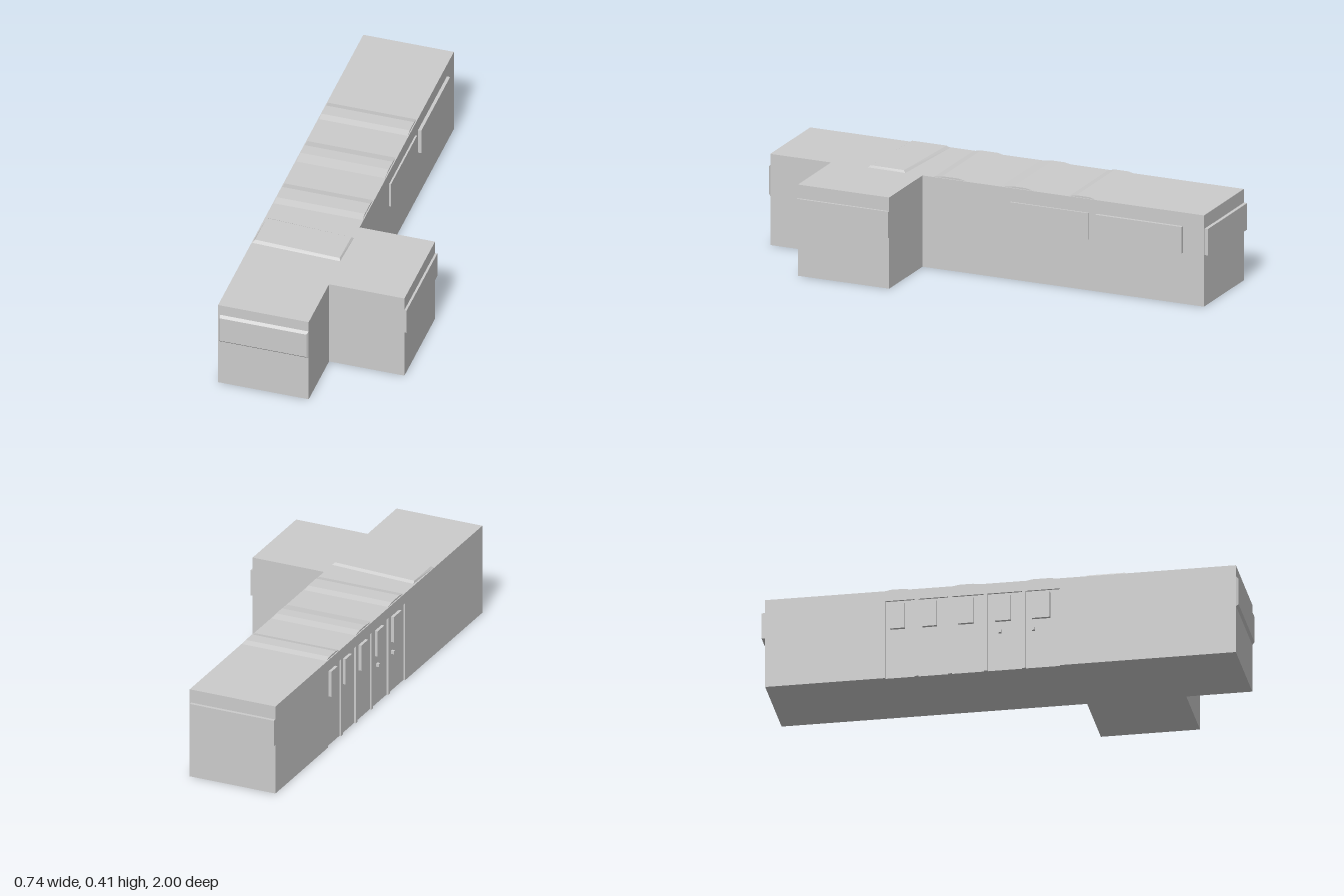
import * as THREE from 'three';
import { ConvexGeometry } from 'three/addons/geometries/ConvexGeometry.js';

const H = 0.396, LEFT = 0.03, RIGHT = -0.363, FRONT = 0.99, BACK = -0.985;
const DOOR_TOP = 0.35, RECESS = 0.008;
const WIN_LOW = 0.222, WIN_HIGH = 0.337;

export function createModel() {
  const group = new THREE.Group();
  const mat = new THREE.MeshStandardMaterial({ color: 0xcccccc, flatShading: true });

  const add = (name, geometry) => {
    const mesh = new THREE.Mesh(geometry, mat);
    mesh.name = name;
    group.add(mesh);
    return mesh;
  };
  // Box given by its min and max on each axis
  const box = (name, x0, x1, y0, y1, z0, z1) => {
    const g = new THREE.BoxGeometry(x1 - x0, y1 - y0, z1 - z0);
    g.translate((x0 + x1) / 2, (y0 + y1) / 2, (z0 + z1) / 2);
    return add(name, g);
  };
  // Faceted solid around a few corner points
  const solid = (name, points) =>
    add(name, new ConvexGeometry(points.map((p) => new THREE.Vector3(...p))));
  // Vertical extrusion of an [x, z] footprint
  const storey = (name, footprint, y0, y1) => {
    const shape = new THREE.Shape(footprint.map(([x, z]) => new THREE.Vector2(x, -z)));
    const g = new THREE.ExtrudeGeometry(shape, { depth: y1 - y0, bevelEnabled: false });
    g.rotateX(-Math.PI / 2).translate(0, y0, 0);
    return add(name, g);
  };

  // T-shaped building: the lower storey has shallow door recesses on its right wall
  const edges = [-0.49, -0.35, -0.21, -0.06, 0.1, 0.26];
  const outline = [
    [RIGHT, FRONT], [LEFT, FRONT], [LEFT, 0.713], [0.357, 0.713],
    [0.357, 0.297], [LEFT, 0.297], [LEFT, BACK], [RIGHT, BACK],
  ];
  const notches = [];
  for (let i = 0; i < 5; i++) {
    const a = edges[i] + 0.008, b = edges[i + 1] - 0.008;
    notches.push([RIGHT, a], [RIGHT + RECESS, a], [RIGHT + RECESS, b], [RIGHT, b]);
  }
  storey('lowerWalls', [...outline, ...notches], 0, DOOR_TOP);
  storey('upperWalls', outline, DOOR_TOP, H);

  // Door windows, slightly proud of the wall
  for (const [z0, z1] of [[-0.46, -0.4], [-0.325, -0.265], [-0.175, -0.11], [-0.02, 0.045], [0.135, 0.21]]) {
    box('doorWindow', -0.368, RIGHT + RECESS, WIN_LOW, WIN_HIGH, z0, z1);
  }
  // Door handles
  for (const z of [0, 0.14]) {
    box('doorHandle', -0.368, RIGHT + RECESS, 0.168, 0.182, z - 0.006, z + 0.006);
  }

  // Front window with bevelled rim
  const rim = (x0, x1, y0, y1, z) => [[x0, y0, z], [x1, y0, z], [x1, y1, z], [x0, y1, z]];
  solid('frontWindow', [
    ...rim(-0.358, LEFT, 0.212, 0.348, FRONT),
    ...rim(-0.353, 0.023, WIN_LOW, WIN_HIGH, 1),
  ]);
  // Back window, wing window and left wall windows
  box('backWindow', RIGHT, 0.023, WIN_LOW, WIN_HIGH, -1, BACK);
  box('wingWindow', 0.357, 0.367, WIN_LOW, WIN_HIGH, 0.297, 0.713);
  box('sideWindow', LEFT, 0.038, WIN_LOW, WIN_HIGH, -0.46, -0.105);
  box('sideWindow', LEFT, 0.044, WIN_LOW, WIN_HIGH, -0.89, -0.497);

  // Low roof ridges: z of rise, flat start, flat end and foot
  for (const zs of [[-0.49, -0.46, -0.4, -0.37], [-0.21, -0.17, -0.115, -0.06], [0.1, 0.135, 0.21, 0.245]]) {
    const pts = [];
    for (const x of [-0.358, 0.025]) zs.forEach((z, i) => pts.push([x, i % 3 ? 0.403 : H, z]));
    solid('roofRidge', pts);
  }
  // Skewed raised roof panel
  solid('roofPanel', [
    [-0.355, H, 0.35], [0.03, H, 0.375], [0.025, H, 0.547], [-0.36, H, 0.534],
    [-0.352, 0.405, 0.363], [0.022, 0.405, 0.385], [0.02, 0.405, 0.537], [-0.352, 0.405, 0.521],
  ]);
  return group;
}
